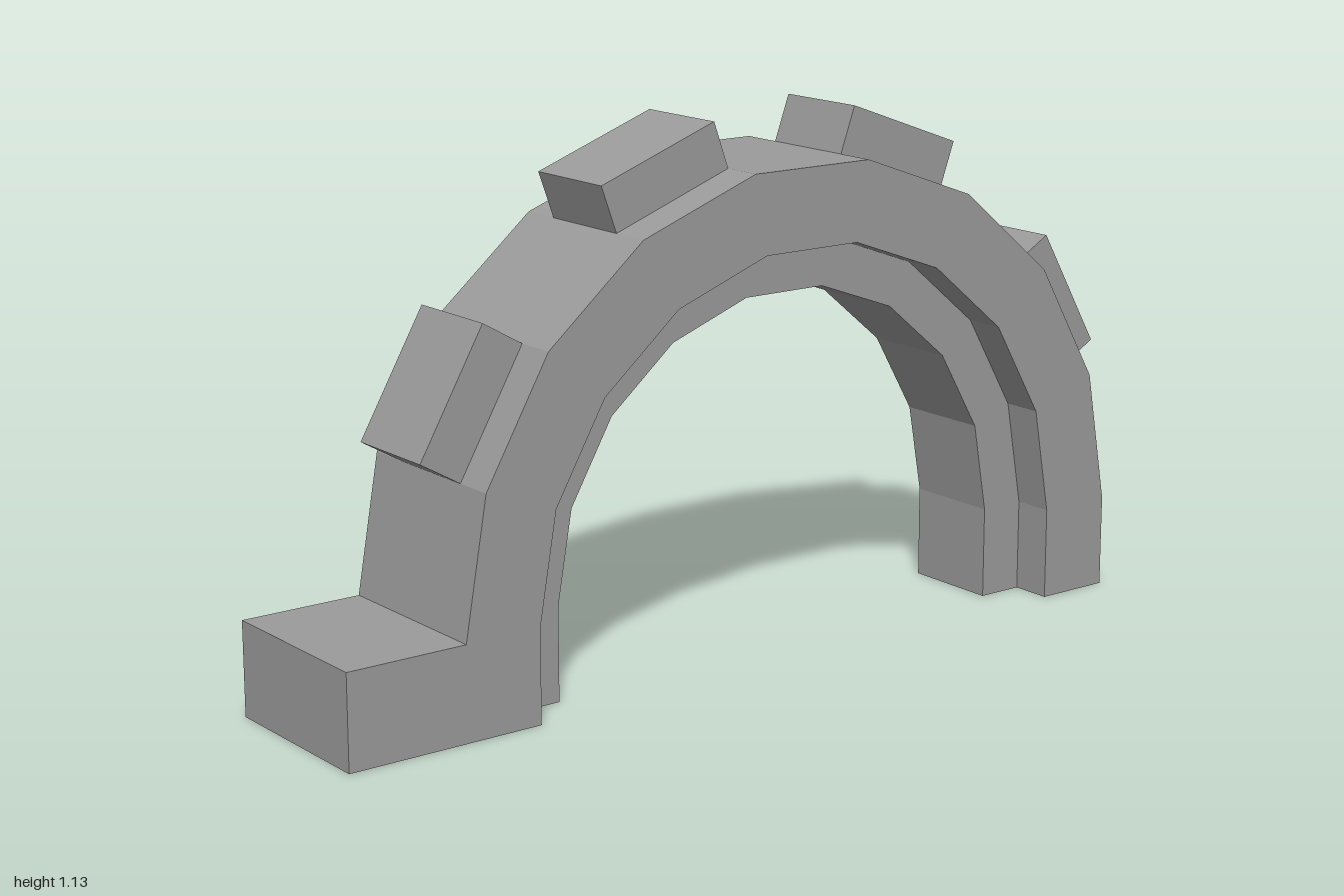
import * as THREE from 'three';

const SPRING_Y = 0.2;     // height where the arc starts
const CENTRE_Z = -0.113;  // arch centre
const HALF_W = 0.197, HALF_RIB = 0.108;
const R_OUTER = 0.848, R_STEP = 0.677, R_INNER = 0.573;
const FACETS = 9;

const material = new THREE.MeshStandardMaterial({ color: 0x9b9b9b, flatShading: true });

// Corner k of the nine-sided half ring, as (z, y)
function corner(r, k) {
  const a = (k / FACETS) * Math.PI;
  return new THREE.Vector2(CENTRE_Z + r * Math.cos(a), SPRING_Y + r * Math.sin(a));
}

// Arc from front to back, with both ends dropped to the ground
function archLine(r) {
  const pts = [new THREE.Vector2(CENTRE_Z + r, 0)];
  for (let k = 0; k <= FACETS; k++) pts.push(corner(r, k));
  pts.push(new THREE.Vector2(CENTRE_Z - r, 0));
  return pts;
}

// Extrude a (z, y) outline across x, centred on x = 0
function slab(name, points, halfWidth) {
  const geo = new THREE.ExtrudeGeometry(new THREE.Shape(points), {
    depth: halfWidth * 2, bevelEnabled: false,
  });
  geo.translate(0, 0, -halfWidth);
  geo.rotateY(-Math.PI / 2);
  const mesh = new THREE.Mesh(geo, material);
  mesh.name = name;
  return mesh;
}

export function createModel() {
  const group = new THREE.Group();
  group.name = 'arch';

  // Wide arch with the foot projecting at the front
  const outer = archLine(R_OUTER).slice(1);
  const foot = [new THREE.Vector2(1, 0), new THREE.Vector2(1, SPRING_Y)];
  group.add(slab('archBody', [...foot, ...outer, ...archLine(R_STEP).reverse()], HALF_W));

  // Narrow rib lining the inside of the arch
  group.add(slab('innerRib', [...archLine(R_STEP), ...archLine(R_INNER).reverse()], HALF_RIB));

  // Raised blocks on every second facet
  for (const k of [1, 3, 5, 7]) {
    const a = corner(R_OUTER, k), b = corner(R_OUTER, k + 1);
    const mid = ((k + 0.5) / FACETS) * Math.PI;
    const out = new THREE.Vector2(Math.cos(mid), Math.sin(mid)).multiplyScalar(0.104);
    group.add(slab('raisedBlock', [a, a.clone().add(out), b.clone().add(out), b], HALF_RIB));
  }
  return group;
}
